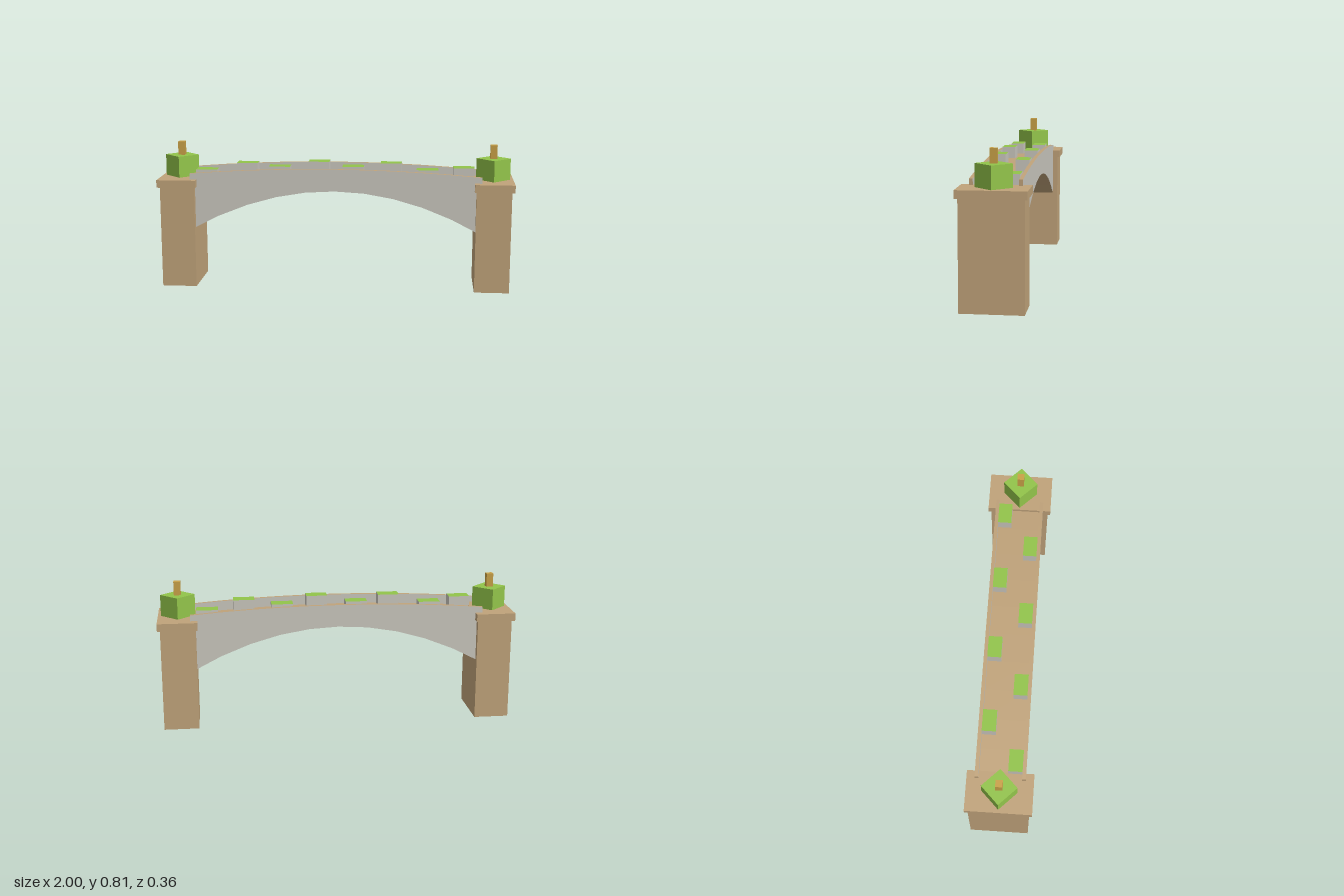
import * as THREE from 'three';

const mat = (name, color) => new THREE.MeshStandardMaterial({ name, color });

export function createModel() {
  const sandstone = mat('sandstone', 0xc0a37a);
  const greyStone = mat('greyStone', 0xcac7be);
  const leaf = mat('leaf', 0x92c44a);
  const gold = mat('gold', 0xc9a147);

  const model = new THREE.Group();
  model.name = 'archBridge';

  const add = (name, geometry, material, x = 0, y = 0, z = 0, parent = model) => {
    const mesh = new THREE.Mesh(geometry, material);
    mesh.name = name;
    mesh.position.set(x, y, z);
    parent.add(mesh);
    return mesh;
  };
  // box placed by the height of its base
  const box = (name, w, h, d, material, x, base, z, parent) =>
    add(name, new THREE.BoxGeometry(w, h, d), material, x, base + h / 2, z, parent);

  // curves of the span
  const END = 0.82, STEPS = 10;
  const soffit = (x) => 0.56 - 0.349 * x * x;
  const parapetTop = (x) => 0.684 - 0.052 * x * x;
  const deckTop = (x) => parapetTop(x) - 0.053;

  // slab between the soffit and an upper curve, extruded along z
  const spanSlab = (upper, depth) => {
    const pts = [];
    for (let i = 0; i <= STEPS; i++) {
      const x = -END + (2 * END * i) / STEPS;
      pts.push(new THREE.Vector2(x, soffit(x)));
    }
    for (let i = STEPS; i >= 0; i--) {
      const x = -END + (2 * END * i) / STEPS;
      pts.push(new THREE.Vector2(x, upper(x)));
    }
    return new THREE.ExtrudeGeometry(new THREE.Shape(pts), { depth, bevelEnabled: false })
      .translate(0, 0, -depth / 2);
  };

  // deck and side walls: grey faces, sandstone edges
  add('deck', spanSlab(deckTop, 0.232), sandstone);
  for (const s of [1, -1]) {
    add(s > 0 ? 'frontSideWall' : 'backSideWall', spanSlab(parapetTop, 0.02),
      [greyStone, sandstone], 0, 0, s * 0.126);
  }

  // end pillars with cap, turned hedge block and post
  for (const s of [1, -1]) {
    const tower = new THREE.Group();
    tower.name = s > 0 ? 'leftPillar' : 'rightPillar';
    model.add(tower);
    box('pillar', 0.195, 0.575, 0.33, sandstone, s * 0.887, 0, 0, tower);
    box('pillarCap', 0.22, 0.043, 0.36, sandstone, s * 0.89, 0.574, 0, tower);
    box('hedgeBlock', 0.135, 0.12, 0.135, leaf, s * 0.887, 0.617, 0, tower)
      .rotation.y = Math.PI / 4;
    box('post', 0.038, 0.076, 0.038, gold, s * 0.887, 0.737, 0, tower);
  }

  // planters alternating along both walls
  for (let i = 0; i < 8; i++) {
    const x = -0.725 + i * 0.2071;
    const z = i % 2 ? -0.078 : 0.078;
    const top = deckTop(x) + 0.067;
    const base = deckTop(x) - 0.02;
    box('planter', 0.12, top - 0.004 - base, 0.076, greyStone, x, base, z);
    // green plate shows only its top
    const plate = new THREE.BoxGeometry(0.12, 0.004, 0.076);
    add('planterGreen', plate, [greyStone, greyStone, leaf, greyStone, greyStone, greyStone],
      x, top - 0.002, z);
  }

  return model;
}
